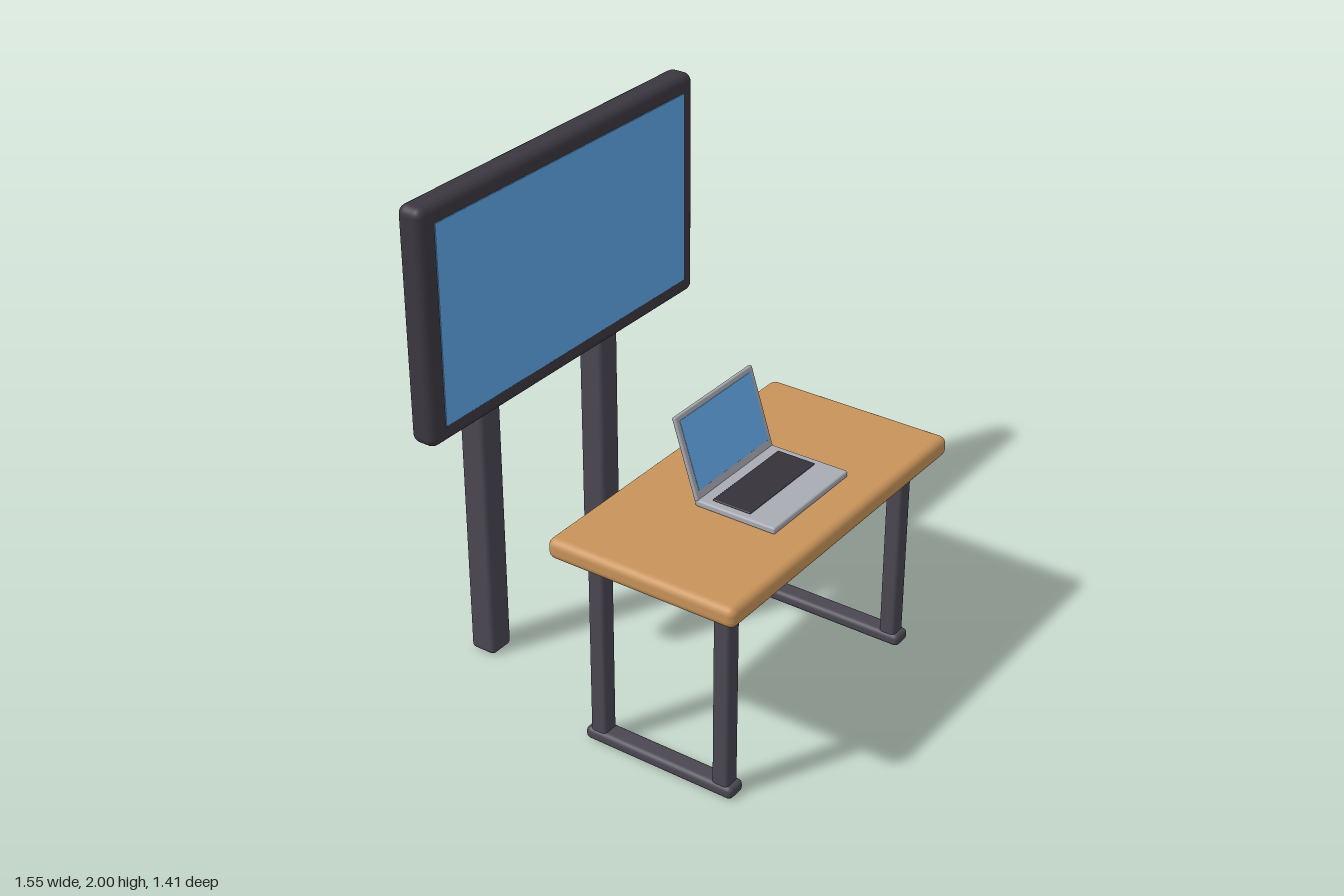
import * as THREE from 'three';
import { RoundedBoxGeometry } from 'three/addons/geometries/RoundedBoxGeometry.js';

const material = (color) => new THREE.MeshStandardMaterial({ color });
const frameDark = material(0x3b3740);
const metalDark = material(0x4a4751);
const wood = material(0xc8935a);
const silver = material(0xa9abb3);
const display = material(0x5fa6e6);
const laptopDisplay = material(0x66b0f2);
const keys = material(0x36323a);

// Rounded box given by its [min, max] extent on each axis
function block(name, mat, [x0, x1], [y0, y1], [z0, z1], radius) {
  const geometry = new RoundedBoxGeometry(x1 - x0, y1 - y0, z1 - z0, 3, radius);
  const mesh = new THREE.Mesh(geometry, mat);
  mesh.position.set((x0 + x1) / 2, (y0 + y1) / 2, (z0 + z1) / 2);
  mesh.name = name;
  return mesh;
}

function createDesk() {
  const desk = new THREE.Group();
  desk.name = 'desk';
  desk.add(block('deskTop', wood, [-0.703, 0.703], [0.793, 0.874], [-0.067, 0.703], 0.03));

  // A closed leg frame at each end
  for (const side of [-1, 1]) {
    const x = side * 0.563;
    const span = (half) => [x - half, x + half];
    const frame = new THREE.Group();
    frame.name = side > 0 ? 'leftLegFrame' : 'rightLegFrame';
    frame.add(
      block('frontLeg', metalDark, span(0.034), [0.03, 0.793], [0.549, 0.617], 0.015),
      block('backLeg', metalDark, span(0.034), [0.03, 0.793], [0.024, 0.092], 0.015),
      block('foot', metalDark, span(0.042), [0, 0.05], [0.004, 0.637], 0.02),
      block('topRail', metalDark, span(0.028), [0.727, 0.782], [0.05, 0.59], 0.02)
    );
    desk.add(frame);
  }
  return desk;
}

function createLaptop() {
  const laptop = new THREE.Group();
  laptop.name = 'laptop';
  laptop.add(
    block('laptopBase', silver, [-0.238, 0.238], [0.874, 0.9], [0.226, 0.557], 0.008),
    block('keyboard', keys, [-0.207, 0.207], [0.892, 0.905], [0.28, 0.437], 0.004)
  );

  // Lid hinged at the back edge of the base and leaning backwards
  const lid = new THREE.Group();
  lid.name = 'laptopLid';
  lid.position.set(0, 0.893, 0.232);
  lid.rotation.x = -0.315;
  lid.add(block('lidShell', silver, [-0.238, 0.238], [0, 0.318], [-0.008, 0.008], 0.006));
  lid.add(block('lidDisplay', laptopDisplay, [-0.218, 0.218], [0.033, 0.298], [0.004, 0.0095], 0.001));
  laptop.add(lid);
  return laptop;
}

function createScreen() {
  const screen = new THREE.Group();
  screen.name = 'wallScreen';
  screen.add(
    block('screenFrame', frameDark, [-0.773, 0.773], [1.105, 2], [-0.597, -0.488], 0.035),
    block('screenDisplay', display, [-0.704, 0.704], [1.172, 1.935], [-0.495, -0.485], 0.002),
    block('rearHousing', metalDark, [-0.489, 0.489], [1.388, 1.72], [-0.708, -0.56], 0.04)
  );
  // Two posts behind the screen
  for (const side of [-1, 1]) {
    const x = side * 0.352;
    screen.add(block(side > 0 ? 'leftPost' : 'rightPost', metalDark,
      [x - 0.055, x + 0.055], [0, 1.238], [-0.693, -0.583], 0.02));
  }
  return screen;
}

export function createModel() {
  const model = new THREE.Group();
  model.name = 'presentationDesk';
  model.add(createDesk(), createLaptop(), createScreen());
  return model;
}
